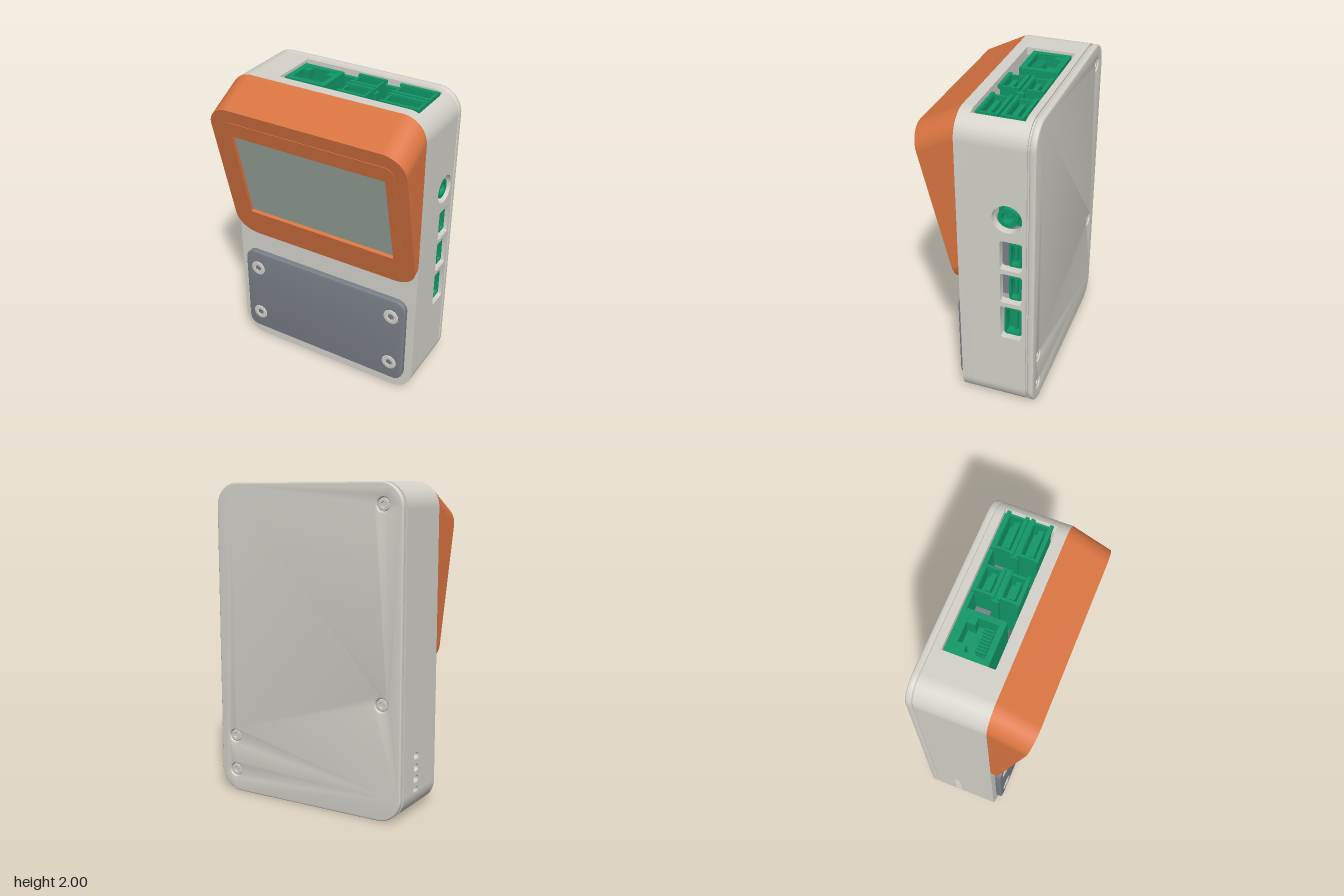
import * as THREE from 'three';
import { toCreasedNormals } from 'three/addons/utils/BufferGeometryUtils.js';

const material = (name, color, extra) => Object.assign(new THREE.MeshStandardMaterial({ color }), { name }, extra);

// Rounded rectangle outline, usable as a shape or as a hole
function roundRect(x0, x1, y0, y1, r, Type = THREE.Shape) {
  const s = new Type();
  if (r <= 0) {
    s.moveTo(x0, y0); s.lineTo(x1, y0); s.lineTo(x1, y1); s.lineTo(x0, y1); s.closePath();
    return s;
  }
  s.moveTo(x0 + r, y0);
  s.absarc(x1 - r, y0 + r, r, -Math.PI / 2, 0);
  s.absarc(x1 - r, y1 - r, r, 0, Math.PI / 2);
  s.absarc(x0 + r, y1 - r, r, Math.PI / 2, Math.PI);
  s.absarc(x0 + r, y0 + r, r, Math.PI, Math.PI * 1.5);
  s.closePath();
  return s;
}
function circle(x, y, r, Type = THREE.Path) {
  const s = new Type();
  s.absarc(x, y, r, 0, Math.PI * 2);
  return s;
}
// Extrude from z0 to z1, with an optional bevel kept inside the outline's depth
function extrude(shape, z0, z1, bevel = 0) {
  const g = new THREE.ExtrudeGeometry(shape, {
    depth: z1 - z0 - 2 * bevel, bevelEnabled: bevel > 0, bevelSize: bevel,
    bevelOffset: -bevel, bevelThickness: bevel, bevelSegments: 3, curveSegments: 14,
  });
  g.translate(0, 0, z0 + bevel);
  return g;
}

export function createModel() {
  const shellMat = material('shell grey', 0xd4d2ca);
  const orange = material('hood orange', 0xd97441);
  const slate = material('slate grey', 0x7b8088);
  const screenMat = material('screen grey green', 0xa0aba3);
  const green = material('board green', 0x109868);

  const model = new THREE.Group();
  const part = (name, parent = model) => {
    const g = new THREE.Group();
    g.name = name;
    parent.add(g);
    return g;
  };
  const add = (name, geometry, mat, parent = model) => {
    const m = new THREE.Mesh(toCreasedNormals(geometry, 0.5), mat);
    m.name = name;
    parent.add(m);
    return m;
  };
  const box = (name, x0, x1, y0, y1, z0, z1, mat, parent) => {
    const g = new THREE.BoxGeometry(x1 - x0, y1 - y0, z1 - z0);
    g.translate((x0 + x1) / 2, (y0 + y1) / 2, (z0 + z1) / 2);
    return add(name, g, mat, parent);
  };

  // Case: front plate plus a ring of walls
  const W = 0.66, R = 0.15, T = 0.05, zB = -0.31, zF = 0.04;
  const shell = part('caseShell');
  add('frontPlate', extrude(roundRect(-W, W, 0, 2, R), zF, 0.11), shellMat, shell);

  const corner = (name, cx, cy, a0, a1, z0 = zB) => {
    const s = new THREE.Shape();
    s.absarc(cx, cy, R, a0, a1, false);
    s.absarc(cx, cy, R - T, a1, a0, true);
    s.closePath();
    add(name, extrude(s, z0, z0 === zB ? zF : z0 + 0.04), shellMat, shell);
  };
  const q = Math.PI / 2, cut = Math.acos(0.4), cx = W - R;
  corner('topLeftCorner', cx, 2 - R, 0, cut);
  corner('topRightCorner', -cx, 2 - R, q, 2 * q);
  corner('bottomRightCorner', -cx, R, 2 * q, 3 * q);
  corner('bottomLeftCorner', cx, R, 3 * q, 4 * q);
  box('bottomWall', -cx, cx, 0, T, zB, zF, shellMat, shell);
  box('topWall', -cx, -0.35, 2 - T, 2, zB, zF, shellMat, shell);

  // Top strip behind the ports
  box('topBackStrip', -0.35, cx, 2 - T, 2, zB, -0.27, shellMat, shell);
  corner('topBackStripEnd', cx, 2 - R, cut, q, zB - 0.0001);

  // Side walls, drawn in the (-z, y) plane and turned upright
  const sideWall = (name, x0, holes) => {
    const s = roundRect(-zF, -zB, R, 2 - R, 0);
    s.holes.push(...holes);
    add(name, extrude(s, x0, x0 + T).rotateY(Math.PI / 2), shellMat, shell);
  };
  const slots = [[0.55, 0.79], [0.82, 1.03], [1.06, 1.26]];
  sideWall('leftWall', W - T, [
    circle(0.195, 1.41, 0.09),
    ...slots.map(([a, b]) => roundRect(0.15, 0.285, a, b, 0.015, THREE.Path)),
  ]);
  sideWall('rightWall', -W, [0.16, 0.23, 0.30, 0.375].map(
    (y) => roundRect(0.12, 0.18, y - 0.022, y + 0.022, 0.02, THREE.Path)));

  // Back lid with sunk screws, and the recessed seam behind it
  const lid = part('backLid');
  const lidScrews = [[-0.53, 1.87], [-0.53, 0.71], [0.55, 0.37], [0.55, 0.14]];
  const lidShape = roundRect(-W, W, 0, 2, R);
  lidShape.holes.push(...lidScrews.map(([x, y]) => circle(x, y, 0.04)));
  add('lidPlate', extrude(lidShape, -0.36, -0.32, 0.012), shellMat, lid);
  add('lidSeam', extrude(roundRect(-W + 0.012, W - 0.012, 0.012, 1.988, R - 0.012), -0.33, -0.30), shellMat, lid);

  // Screw with a hexagonal socket, head towards local +z
  const screw = (x, y, z, r, turn, parent) => {
    const g = part('screw', parent);
    const s = circle(0, 0, r, THREE.Shape);
    const hex = new THREE.Path();
    for (let i = 0; i < 6; i++) {
      const a = i * Math.PI / 3 + Math.PI / 6, m = i ? 'lineTo' : 'moveTo';
      hex[m](Math.cos(a) * r * 0.45, Math.sin(a) * r * 0.45);
    }
    hex.closePath();
    s.holes.push(hex);
    add('screwHead', extrude(s, -0.02, 0, 0.003), shellMat, g);
    add('screwSocket', extrude(circle(0, 0, r * 0.6, THREE.Shape), -0.025, -0.012), shellMat, g);
    g.position.set(x, y, z);
    g.rotation.y = turn;
  };
  for (const [x, y] of lidScrews) screw(x, y, -0.352, 0.038, Math.PI, lid);

  // Lower front plate with four screws
  const panel = part('frontPanel');
  add('panelPlate', extrude(roundRect(-0.605, 0.605, 0.09, 0.73, 0.07), 0.105, 0.148, 0.009), slate, panel);
  for (const x of [-0.51, 0.51]) for (const y of [0.22, 0.6]) screw(x, y, 0.153, 0.052, 0, panel);

  // Wedge hood: a rounded frame leaned downwards and cut by a tilted plane
  const hood = part('screenHood');
  const slope = 0.242, lean = 0.51;
  const wedge = (shape, z0, z1, lift) => {
    const g = extrude(shape, z0, z1), p = g.attributes.position;
    shape.holes.length || 0;
    for (let i = 0; i < p.count; i++) {
      const y = p.getY(i);
      const d = p.getZ(i) * (0.015 + slope * (y - 0.88)) / (1 + slope * lean);
      p.setY(i, y - lean * d);
      p.setZ(i, 0.11 + d + (p.getZ(i) > 0.9 ? lift : 0));
    }
    g.computeVertexNormals();
    return g;
  };
  const framed = (shape) => {
    shape.holes.push(roundRect(-0.52, 0.52, 1.101, 1.787, 0, THREE.Path));
    return shape;
  };
  add('hoodFrame', wedge(framed(roundRect(-W, W, 0.88, 2, R)), 0, 1, 0), orange, hood);
  add('hoodBezel', wedge(framed(roundRect(-0.58, 0.58, 0.966, 1.9, 0.06)), 0.8, 1, 0.003), orange, hood);
  const screen = add('screen', new THREE.BoxGeometry(1.06, 0.68, 0.008), screenMat, hood);
  screen.position.set(0, 1.378, 0.222);
  screen.rotation.x = Math.atan(slope);

  // Circuit board and its ports
  const board = part('circuitBoard');
  box('boardPlate', -0.4, 0.6, 0.45, 1.93, -0.275, -0.255, green, board);
  box('boardEdge', -0.34, 0.56, 1.9, 1.96, -0.27, -0.245, green, board);
  box('metalModule', 0.25, 0.57, 0.82, 1.25, -0.215, -0.13, slate, board);
  box('metalBlock', -0.06, 0.32, 1.6, 1.78, -0.24, -0.15, slate, board);

  // Hollow socket opening towards +y
  const socket = (name, x0, x1, z0, z1, top, wall) => {
    const g = part(name, board);
    const s = roundRect(x0, x1, -z1, -z0, 0);
    s.holes.push(roundRect(x0 + wall, x1 - wall, -z1 + wall, -z0 - wall, 0, THREE.Path));
    add('socketCase', extrude(s, 1.6, top).rotateX(-Math.PI / 2), green, g);
    box('socketFloor', x0, x1, 1.6, top - 0.12, z0, z1, green, g);
    return g;
  };
  const net = socket('networkPort', -0.345, -0.07, -0.245, -0.005, 1.985, 0.035);
  for (const s of [-1, 1]) {
    const x = -0.2075 + s * 0.085;
    box('networkPortStep', x - 0.025, x + 0.025, 1.8, 1.98, -0.215, -0.16, green, net);
  }
  for (let i = 0; i < 8; i++) {
    const x = -0.275 + i * 0.019;
    box('networkPin', x, x + 0.007, 1.85, 1.96, -0.11, -0.05, green, net);
  }
  for (const [x0, x1, flange] of [[0.04, 0.21, 0.02], [0.32, 0.55, 0.015]]) {
    for (const z of [-0.19, -0.045]) {
      const usb = socket('usbPort', x0, x1, z - 0.055, z + 0.055, 1.99, 0.014);
      box('usbTongue', x0 + 0.03, x1 - 0.03, 1.8, 1.97, z - 0.005, z + 0.025, green, usb);
      for (const e of [-0.055, 0.055]) {
        box('usbLip', x0 - 0.01, x1 + 0.01, 1.975, 1.997, z + e - 0.01, z + e + 0.01, green, usb);
      }
    }
    box('usbMiddleBar', x0 - flange, x1 + flange, 1.65, 1.97, -0.14, -0.095, green, board);
  }

  // Side connectors: power jack and three flat sockets
  const jack = part('powerJack', board);
  const ring = circle(0.195, 1.41, 0.062, THREE.Shape);
  ring.holes.push(circle(0.195, 1.41, 0.038));
  add('jackBarrel', extrude(ring, 0.4, 0.645).rotateY(Math.PI / 2), green, jack);
  add('jackPin', extrude(circle(0.195, 1.41, 0.014, THREE.Shape), 0.4, 0.63).rotateY(Math.PI / 2), green, jack);
  box('jackBody', 0.35, 0.58, 1.33, 1.49, -0.27, -0.12, green, jack);
  slots.forEach(([a, b], i) => {
    const g = part('sideSocket', board), front = i === 0 ? 0.17 : 0.2;
    const s = roundRect(front, 0.275, a + 0.02, b - 0.02, 0.015);
    s.holes.push(roundRect(front + 0.013, 0.262, a + 0.033, b - 0.033, 0.01, THREE.Path));
    add('sideSocketCase', extrude(s, 0.45, 0.64).rotateY(Math.PI / 2), green, g);
    box('sideSocketTongue', 0.45, 0.62, a + 0.05, b - 0.05, -0.245, -0.225, green, g);
    box('sideSocketFloor', 0.45, 0.58, a + 0.02, b - 0.02, -0.275, -front, green, g);
  });

  return model;
}
